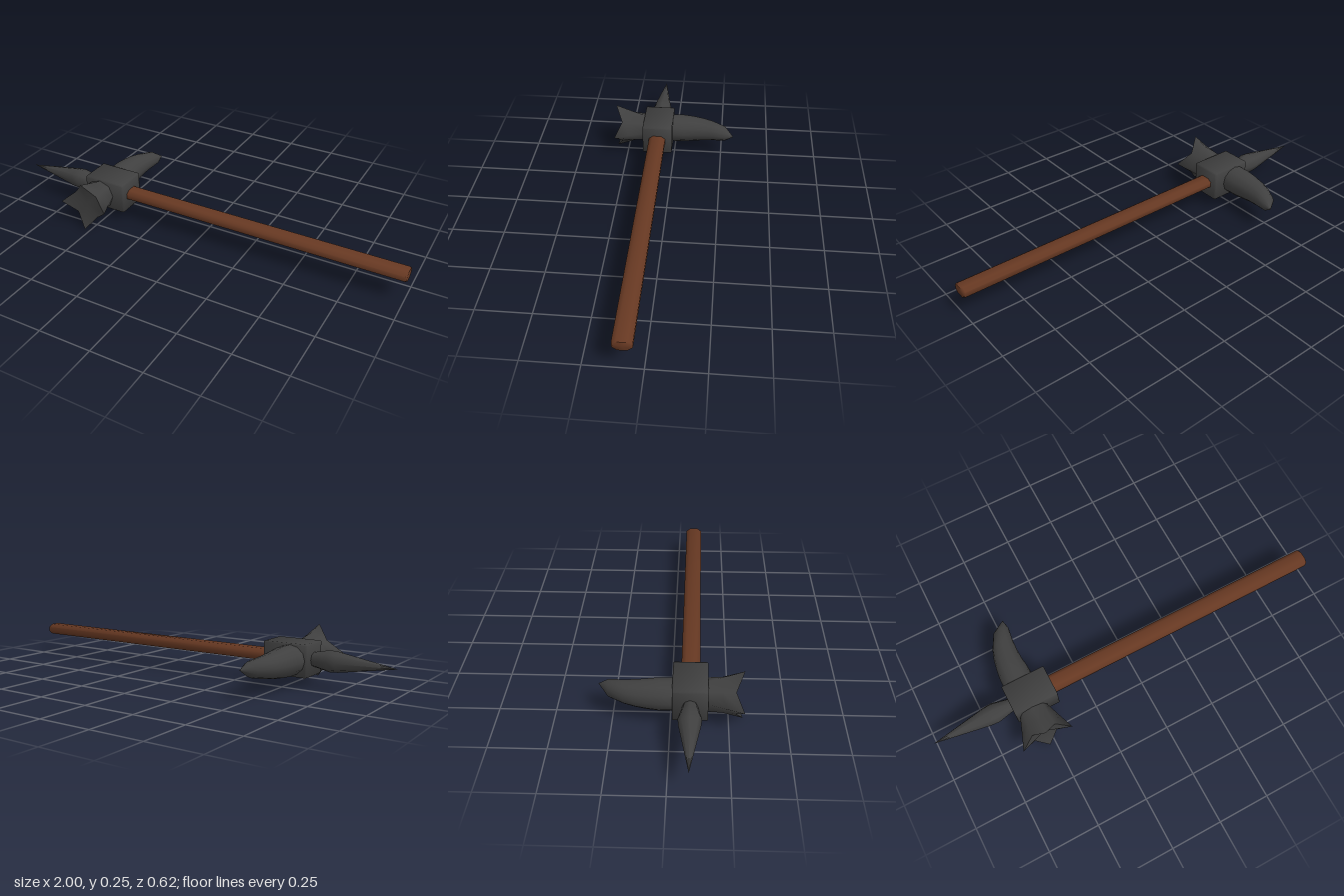
import * as THREE from 'three';
import { toCreasedNormals } from 'three/addons/utils/BufferGeometryUtils.js';
import { RoundedBoxGeometry } from 'three/addons/geometries/RoundedBoxGeometry.js';

const CY = 0.127, CZ = 0.085, HX = -0.528; // shaft axis height and depth, head centre

// Skin equal-length rings (counterclockwise about the travel direction) and close both ends to a point.
function loft(rings, start, end, crease) {
  const n = rings[0].length, pos = [], idx = [];
  rings.flat().concat([start, end]).forEach(p => pos.push(...p));
  const s = rings.length * n, e = s + 1, last = s - n;
  for (let i = 0; i < n; i++) {
    const j = (i + 1) % n;
    idx.push(j, i, s, last + i, last + j, e);
    for (let k = 0; k < rings.length - 1; k++) {
      const a = k * n + i, b = k * n + j;
      idx.push(a, b, b + n, a, b + n, a + n);
    }
  }
  const g = new THREE.BufferGeometry();
  g.setAttribute('position', new THREE.Float32BufferAttribute(pos, 3));
  g.setIndex(idx);
  return toCreasedNormals(g, crease);
}

// n points around a circle, handed to fn as (cos, sin, index)
const ring = (n, fn) => Array.from({ length: n }, (_, i) => {
  const t = (i / n) * Math.PI * 2;
  return fn(Math.cos(t), Math.sin(t), i);
});

export function createModel() {
  const iron = new THREE.MeshStandardMaterial({ color: 0x404040 });
  iron.name = 'dark iron';
  const wood = new THREE.MeshStandardMaterial({ color: 0x663822 });
  wood.name = 'brown wood';
  const group = new THREE.Group();
  group.name = 'warHammer';
  const add = (name, geometry, material) => {
    const mesh = new THREE.Mesh(geometry, material);
    mesh.name = name;
    group.add(mesh);
    return mesh;
  };

  // Flattened octagonal shaft with a bevelled butt
  const outline = [[0.012, 0.042], [-0.012, 0.042], [-0.027, 0.022], [-0.027, -0.022],
    [-0.012, -0.042], [0.012, -0.042], [0.027, -0.022], [0.027, 0.022]];
  const shaftRing = ([x, s]) => outline.map(([y, z]) => [x, CY + y * s, CZ + z * s]);
  add('shaft', loft([[-0.45, 1], [0.992, 1], [1, 0.85]].map(shaftRing),
    [-0.45, CY, CZ], [1, CY, CZ], 1), wood);

  // Central block, softly shaded across its small bevels
  add('headBlock', toCreasedNormals(new RoundedBoxGeometry(0.215, 0.151, 0.152, 1, 0.005), 1.2), iron)
    .position.set(-0.505, CY, CZ);

  // Long spike at the end, in line with the shaft
  const spikeRings = [[-0.59, 0.028], [-0.65, 0.041], [-0.69, 0.05], [-0.73, 0.047]]
    .map(([x, r]) => ring(8, (c, s) => [x, CY + s * r, CZ + c * r]));
  add('topSpike', loft(spikeRings, [-0.59, CY, CZ], [-1, CY, CZ], 0.9), iron);

  // Curved beak at the back: z, outer x, inner x, half height
  const beakRings = [[0.03, -0.605, -0.455, 0.07], [-0.05, -0.603, -0.459, 0.07],
    [-0.1, -0.597, -0.465, 0.065], [-0.15, -0.588, -0.467, 0.058],
    [-0.2, -0.572, -0.465, 0.05], [-0.268, -0.535, -0.456, 0.037]]
    .map(([z, x0, x1, h]) => ring(12, (c, s) =>
      [(x0 + x1) / 2 + s * (x1 - x0) / 2, CY + c * h, z]));
  add('beak', loft(beakRings, [HX, CY, 0.03], [-0.466, CY, -0.313], 0.9), iron);

  // Flared hammer face with four prongs, scalloped between them and hollow in the middle:
  // prong z, scallop z, prong radius, scallop radius
  const faceRings = [[0.14, 0.14, 0.067, 0.073], [0.165, 0.165, 0.071, 0.073],
    [0.235, 0.22, 0.096, 0.076], [0.312, 0.277, 0.125, 0.081]]
    .map(([zt, zn, rt, rn]) => ring(8, (c, s, i) => {
      const r = i % 2 ? rn : rt;
      return [HX + c * r, CY + s * r, i % 2 ? zn : zt];
    }));
  add('hammerFace', loft(faceRings, [HX, CY, 0.14], [HX, CY, 0.27], 1.6), iron);

  return group;
}
